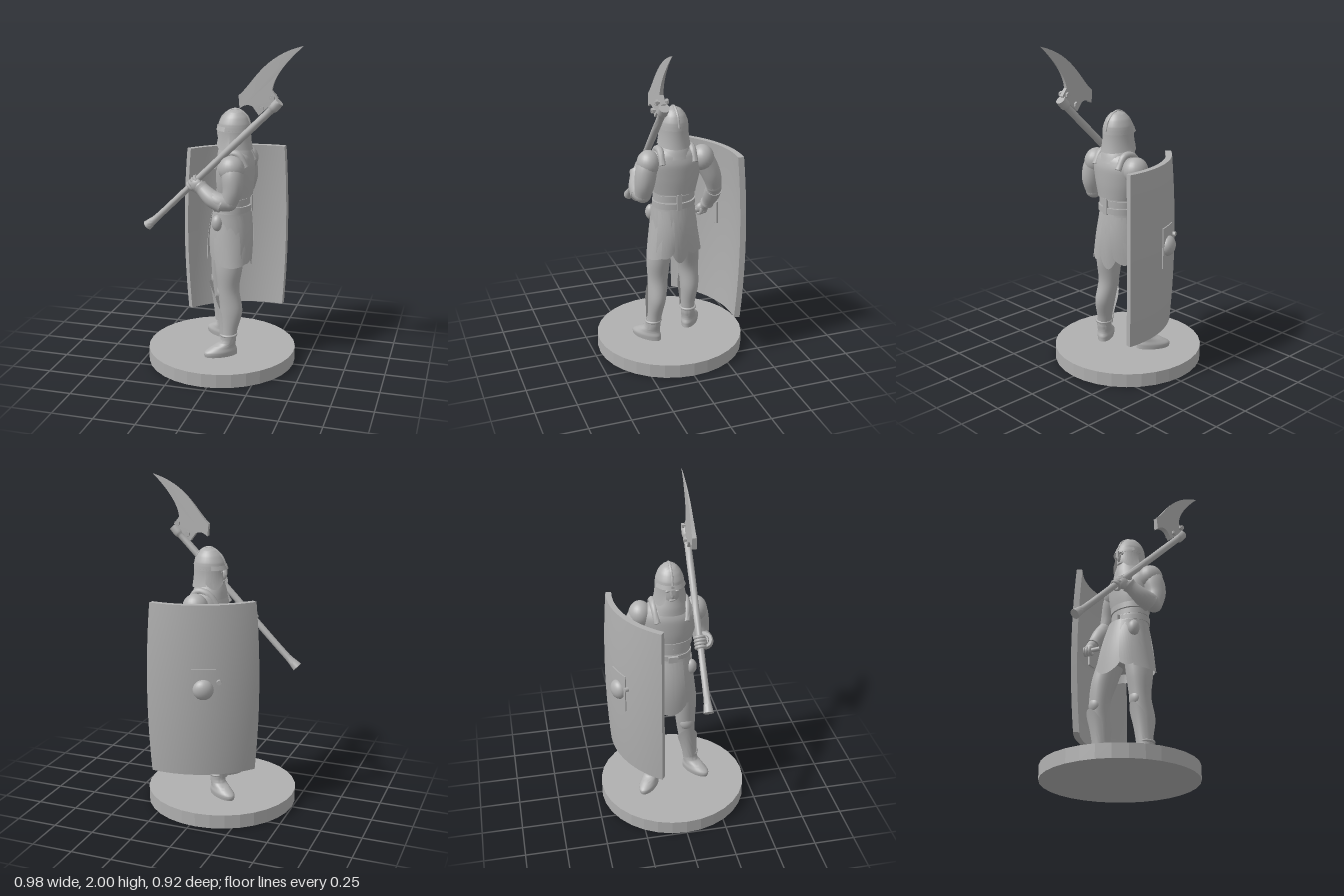
import * as THREE from 'three';
import { toCreasedNormals } from 'three/addons/utils/BufferGeometryUtils.js';

const V = (x, y, z) => new THREE.Vector3(x, y, z);
const grey = new THREE.MeshStandardMaterial({ color: 0xb0b0b0, side: THREE.DoubleSide });
grey.name = 'plain grey';

export function createModel() {
  const model = new THREE.Group();
  model.name = 'shieldBearer';

  const add = (name, geo, parent = model) => {
    const mesh = new THREE.Mesh(geo, grey);
    mesh.name = name;
    parent.add(mesh);
    return mesh;
  };

  // Move every vertex of a geometry by a rule
  const warp = (geo, rule, crease = 0.8) => {
    const p = geo.attributes.position, v = V(0, 0, 0);
    for (let i = 0; i < p.count; i++) {
      const r = rule(v.fromBufferAttribute(p, i));
      p.setXYZ(i, r.x, r.y, r.z);
    }
    geo.computeVertexNormals();
    return toCreasedNormals(geo, crease);
  };

  // Horizontal oval cross-sections: [x, y, z, rx, rz]
  const loft = (name, rows, parent, steps = 5) => {
    const mid = new THREE.CatmullRomCurve3(rows.map(r => V(r[0], r[1], r[2])));
    const rad = new THREE.CatmullRomCurve3(rows.map(r => V(r[3], r[4], 0)));
    return add(name, warp(new THREE.CylinderGeometry(1, 1, 1, 28, (rows.length - 1) * steps), v => {
      const t = Math.min(1, Math.max(0, v.y + 0.5)), c = mid.getPoint(t), r = rad.getPoint(t);
      return V(c.x + v.x * r.x, c.y, c.z + v.z * r.y);
    }), parent);
  };

  // Round cross-sections along a path: [x, y, z, r]
  const limb = (name, rows, parent, steps = 5, sides = 16) => {
    const n = (rows.length - 1) * steps;
    const path = new THREE.CatmullRomCurve3(rows.map(r => V(r[0], r[1], r[2])));
    const rad = new THREE.CatmullRomCurve3(rows.map((r, i) => V(r[3], i * 0.1, 0)));
    const fr = path.computeFrenetFrames(n);
    return add(name, warp(new THREE.CylinderGeometry(1, 1, 1, sides, n), v => {
      const i = Math.round((v.y + 0.5) * n), r = rad.getPoint(i / n).x;
      return path.getPoint(i / n).addScaledVector(fr.normals[i], v.x * r).addScaledVector(fr.binormals[i], -v.z * r);
    }), parent);
  };

  // Curved sheet: rule gives a point from angle and height fraction
  const sheet = (name, a0, a1, rule, parent) =>
    add(name, warp(new THREE.PlaneGeometry(1, 1, 16, 8), v => rule(a0 + (a1 - a0) * (v.x + 0.5), v.y + 0.5, v.x * 2)), parent);

  const ball = (name, at, size, parent) => {
    const m = add(name, new THREE.SphereGeometry(1, 24, 16), parent);
    m.position.set(...at);
    m.scale.set(...size);
    return m;
  };
  const box = (name, at, size, parent) => {
    const m = add(name, new THREE.BoxGeometry(...size), parent);
    m.position.set(...at);
    return m;
  };

  // Base disc
  add('base', toCreasedNormals(new THREE.CylinderGeometry(0.462, 0.462, 0.085, 32), 0.1)).position.set(-0.035, 0.0425, 0);

  // Torso, neck and waist
  loft('hips', [[0.02, 0.72, -0.01, 0.1, 0.14], [0.025, 0.85, -0.01, 0.12, 0.145], [0.035, 0.95, 0, 0.11, 0.13], [0.045, 1.06, 0, 0.095, 0.122]]);
  loft('cuirass', [[0.05, 1.08, 0, 0.105, 0.135], [0.05, 1.17, 0, 0.113, 0.158], [0.052, 1.26, 0, 0.113, 0.172],
    [0.055, 1.32, 0, 0.095, 0.145], [0.055, 1.36, 0, 0.07, 0.085]]);
  loft('collar', [[0.05, 1.3, 0, 0.11, 0.12], [0.045, 1.345, 0, 0.1, 0.1], [0.04, 1.39, 0, 0.083, 0.08], [0.04, 1.44, 0, 0.07, 0.07]]);
  [[1.09, 0.108, 0.138], [1.05, 0.102, 0.13], [1.005, 0.11, 0.133]].forEach(([y, rx, rz], i) => {
    loft(i === 2 ? 'belt' : 'waistBand', [[0.045, y - 0.018, 0, rx, rz], [0.045, y + 0.018, 0, rx, rz]]);
  });
  box('buckle', [-0.07, 1.0, 0], [0.02, 0.05, 0.06]);
  box('backStrap', [0.15, 1.03, 0], [0.015, 0.1, 0.03]);
  ball('beltPouch', [-0.03, 0.92, 0.12], [0.035, 0.05, 0.035]);
  for (const s of [1, -1]) {
    limb('shoulderStrap', [[0.14, 1.27, s * 0.1, 0.02], [0.09, 1.345, s * 0.1, 0.022], [0.02, 1.335, s * 0.1, 0.022], [-0.045, 1.25, s * 0.09, 0.02]]);
  }

  // Skirt panels around the hips
  const panel = (name, a0, a1, top, bottom, flare, point = 0) =>
    sheet(name, a0, a1, (a, t, u) => {
      const d = 1 - t, low = bottom + point * u * u;
      const z = -0.012 * d + Math.sin(a) * (0.137 + flare * d);
      return V(0.03 - 0.01 * d + 0.2 * z * d + Math.cos(a) * (0.115 + flare * 0.55 * d + 0.012 * Math.sin(Math.PI * t)),
        top + (low - top) * d, z);
    });
  panel('tunicSkirt', 0, Math.PI * 2, 0.98, 0.73, 0.025);
  for (const s of [1, -1]) {
    panel('thighPlate', s * 0.75, s * 2.25, 0.92, 0.655, 0.048, 0.02);
    panel('rearFlap', s * 0.25, s * 1.0, 0.97, 0.67, 0.042, 0.04);
    panel('frontPlate', s * 2.1, s * 2.75, 0.96, 0.68, 0.04, 0.03);
  }
  panel('rearCentreFlap', -0.4, 0.4, 0.99, 0.63, 0.03, 0.09);
  panel('frontCentreFlap', 2.7, 3.6, 0.99, 0.64, 0.07, 0.05);

  // Legs, greaves and boots
  const leg = (side, rows, foot, turn) => {
    const g = new THREE.Group();
    g.name = side + 'Leg';
    model.add(g);
    loft(side + 'LegBody', rows, g);
    const [ankle, , calf, knee] = rows;
    sheet(side + 'Greave', 2.0, 4.3, (a, t, u) => {
      const w = 0.012 + 0.02 * t * t, x = ankle[0] + (calf[0] - ankle[0]) * t, z = ankle[2] + (calf[2] - ankle[2]) * t;
      return V(x + Math.cos(a) * (0.045 + 0.02 * t + w), 0.2 + t * (0.25 - 0.09 * u * u), z + Math.sin(a) * (0.043 + 0.012 * t + w * 0.5));
    }, g);
    ball(side + 'KneeGuard', [knee[0] - knee[3] * 0.55, knee[1] - 0.02, knee[2]], [0.035, 0.05, 0.045], g);
    const boot = loft(side + 'Boot', [[-0.05, 0.085, 0, 0.105, 0.048], [-0.052, 0.11, 0, 0.107, 0.052], [-0.035, 0.14, 0, 0.08, 0.047],
      [-0.005, 0.17, 0, 0.05, 0.045], [0, 0.22, 0, 0.047, 0.045]], g);
    boot.position.set(foot[0], 0, foot[1]);
    boot.rotation.y = turn;
    const cuff = add(side + 'BootStrap', new THREE.TorusGeometry(0.047, 0.008, 8, 24), g);
    cuff.position.set(foot[0], 0.215, foot[1]);
    cuff.rotation.x = Math.PI / 2;
  };
  leg('left', [[0.045, 0.18, 0.132, 0.044, 0.042], [0.048, 0.25, 0.125, 0.05, 0.044], [0.055, 0.37, 0.112, 0.07, 0.055],
    [0.035, 0.5, 0.1, 0.066, 0.063], [0.035, 0.63, 0.095, 0.083, 0.073], [0.035, 0.78, 0.08, 0.095, 0.075]], [0.045, 0.135], 0.6);
  leg('right', [[-0.06, 0.18, -0.135, 0.044, 0.043], [-0.06, 0.25, -0.137, 0.048, 0.045], [-0.06, 0.37, -0.145, 0.065, 0.058],
    [-0.075, 0.5, -0.142, 0.064, 0.065], [-0.055, 0.63, -0.125, 0.082, 0.074], [-0.02, 0.78, -0.09, 0.09, 0.075]], [-0.055, -0.135], -0.6);

  // Head: face, open helmet, cheek guards and neck guard
  const head = new THREE.Group();
  head.name = 'head';
  model.add(head);
  loft('face', [[0.03, 1.36, 0, 0.045, 0.04], [0.02, 1.39, 0, 0.062, 0.055], [0.03, 1.45, 0, 0.072, 0.068], [0.04, 1.53, 0, 0.07, 0.07]], head);
  loft('helmetDome', [[0.045, 1.47, 0, 0.1, 0.088], [0.045, 1.51, 0, 0.096, 0.084], [0.048, 1.555, 0, 0.075, 0.066],
    [0.05, 1.585, 0, 0.045, 0.04], [0.052, 1.602, 0, 0.003, 0.003]], head);
  const helmetSide = (name, a0, a1, low) => sheet(name, a0, a1, (a, t, u) => {
    const d = 1 - t, f = 0.012 * d * d;
    return V(0.045 + Math.cos(a) * (0.098 + f), 1.48 - d * (0.12 - low * u * u), Math.sin(a) * (0.087 + f));
  }, head);
  helmetSide('neckGuard', -1.7, 1.7, 0.02);
  for (const s of [1, -1]) {
    helmetSide('cheekGuard', s * 1.65, s * 2.7, 0.035);
    ball('eye', [-0.04, 1.46, s * 0.03], [0.009, 0.008, 0.013], head);
  }
  ball('nose', [-0.045, 1.44, 0], [0.018, 0.03, 0.012], head);
  ball('mouth', [-0.038, 1.4, 0], [0.012, 0.008, 0.022], head);
  box('noseGuard', [-0.056, 1.47, 0], [0.012, 0.06, 0.018], head);
  limb('helmetRidge', [[-0.055, 1.49, 0, 0.007], [-0.025, 1.555, 0, 0.008], [0.05, 1.599, 0, 0.008], [0.12, 1.56, 0, 0.007], [0.146, 1.49, 0, 0.006]], head);
  sheet('brow', Math.PI - 1.2, Math.PI + 1.2, (a, t) =>
    V(0.045 + Math.cos(a) * (0.101 + 0.01 * (1 - t)), 1.475 + 0.025 * t, Math.sin(a) * (0.089 + 0.008 * (1 - t))), head);

  // Arms with sleeves, forearm guards and hands
  const arm = (side, shoulder, upper, fore, guard) => {
    const g = new THREE.Group();
    g.name = side + 'Arm';
    model.add(g);
    ball(side + 'Shoulder', shoulder, [0.078, 0.08, 0.07], g);
    limb(side + 'UpperArm', upper, g);
    limb(side + 'Forearm', fore, g);
    limb(side + 'ForearmGuard', guard, g);
    const e = upper[upper.length - 1];
    ball(side + 'Elbow', e.slice(0, 3), [e[3], e[3], e[3]], g);
    return g;
  };
  const leftArm = arm('left', [0.07, 1.27, 0.165],
    [[0.07, 1.3, 0.15, 0.06], [0.08, 1.23, 0.18, 0.066], [0.085, 1.15, 0.195, 0.06], [0.065, 1.075, 0.2, 0.05]],
    [[0.075, 1.07, 0.2, 0.046], [0.01, 1.08, 0.21, 0.052], [-0.07, 1.12, 0.195, 0.04], [-0.13, 1.16, 0.17, 0.03]],
    [[0.03, 1.065, 0.208, 0.056], [-0.04, 1.095, 0.203, 0.052], [-0.1, 1.14, 0.185, 0.042], [-0.12, 1.155, 0.178, 0.046]]);
  const rightArm = arm('right', [0.07, 1.27, -0.175],
    [[0.07, 1.3, -0.16, 0.06], [0.07, 1.23, -0.2, 0.064], [0.075, 1.15, -0.235, 0.058], [0.065, 1.075, -0.255, 0.046]],
    [[0.07, 1.085, -0.255, 0.045], [0.03, 1.03, -0.262, 0.049], [-0.03, 0.95, -0.258, 0.036], [-0.08, 0.89, -0.25, 0.028]],
    [[0.05, 1.05, -0.26, 0.05], [0.01, 1.0, -0.262, 0.05], [-0.03, 0.945, -0.258, 0.04], [-0.045, 0.925, -0.255, 0.043]]);

  // Curled fingers round a bar
  const grip = (name, at, dir, r, parent) => {
    const g = new THREE.Group();
    g.name = name;
    g.position.set(...at);
    g.quaternion.setFromUnitVectors(V(0, 0, 1), dir);
    parent.add(g);
    for (let i = 0; i < 4; i++) add('finger', new THREE.TorusGeometry(r, 0.0105, 8, 20), g).position.z = (i - 1.5) * 0.02;
  };
  const poleDir = V(0.81, 0.81, 0.035).normalize();
  grip('leftFingers', [-0.165, 1.165, 0.142], poleDir, 0.027, leftArm);
  ball('leftPalm', [-0.145, 1.16, 0.165], [0.038, 0.038, 0.022], leftArm);
  const out = V(-0.38, 0, -0.925).normalize();
  grip('rightFingers', [-0.1, 0.865, -0.245], out, 0.022, rightArm);
  ball('rightPalm', [-0.088, 0.88, -0.24], [0.026, 0.035, 0.04], rightArm);

  // Pole axe
  const axe = new THREE.Group();
  axe.name = 'poleAxe';
  model.add(axe);
  limb('pole', [[-0.475, 0.872, 0.126, 0.031], [-0.45, 0.895, 0.128, 0.026], [-0.41, 0.93, 0.13, 0.02], [-0.1, 1.235, 0.144, 0.02],
    [0.15, 1.48, 0.155, 0.022], [0.3, 1.628, 0.161, 0.022], [0.315, 1.643, 0.162, 0.03], [0.35, 1.682, 0.163, 0.03]], axe, 4);
  const blade = new THREE.Shape();
  blade.moveTo(0.235, 1.6);
  blade.lineTo(0.2, 1.648);
  blade.quadraticCurveTo(0.165, 1.67, 0.122, 1.635);
  blade.lineTo(0.115, 1.71);
  blade.bezierCurveTo(0.2, 1.78, 0.25, 1.94, 0.487, 2.0);
  blade.bezierCurveTo(0.4, 1.92, 0.32, 1.83, 0.31, 1.745);
  blade.lineTo(0.345, 1.7);
  add('blade', warp(new THREE.ExtrudeGeometry(blade, { depth: 1, bevelEnabled: false, curveSegments: 16 }), v =>
    V(v.x, v.y, 0.165 + (v.z - 0.5) * Math.max(0.003, 0.034 * Math.min(1, (2.0 - v.y) / 0.36))), 0.5), axe);
  for (const [x, y] of [[0.25, 1.643], [0.315, 1.707]]) {
    for (const [r, len, z] of [[0.009, 0.08, 0.168], [0.017, 0.014, 0.136], [0.017, 0.014, 0.196]]) {
      const bolt = add('bolt', toCreasedNormals(new THREE.CylinderGeometry(r, r, len, 6), 0.2), axe);
      bolt.rotation.x = Math.PI / 2;
      bolt.position.set(x, y, z);
    }
  }

  // Shield curved across its width and bowed along its height
  const shield = new THREE.Group();
  shield.name = 'shield';
  model.add(shield);
  const curvedPlate = (name, half, height, yMid, outer, thick) =>
    add(name, warp(new THREE.BoxGeometry(1, 1, 1, 24, 14, 1), v => {
      const y = yMid + v.y * height, k = ((y - 0.795) / 0.525) ** 2;
      const a = -0.391 - 2 * half * (1 - 0.035 * k) * v.x;
      const r = outer - 0.022 * k + (v.z - 0.5) * thick;
      return V(0.2 + r * Math.sin(a), y, 0.255 - r * Math.cos(a));
    }, 0.5), shield);
  curvedPlate('shieldBoard', 0.553, 1.05, 0.795, 0.635, 0.036);
  curvedPlate('bossPlate', 0.115, 0.25, 0.82, 0.642, 0.012);
  curvedPlate('gripPlate', 0.06, 0.14, 0.87, 0.602, 0.015);
  const boss = ball('boss', [-0.042, 0.82, -0.336], [0.062, 0.062, 0.045], shield);
  boss.quaternion.setFromUnitVectors(V(0, 0, 1), out);
  const bar = add('gripBar', new THREE.CylinderGeometry(0.014, 0.014, 0.17, 12), shield);
  bar.position.set(-0.1, 0.865, -0.235);
  bar.quaternion.setFromUnitVectors(V(0, 1, 0), out);

  return model;
}
